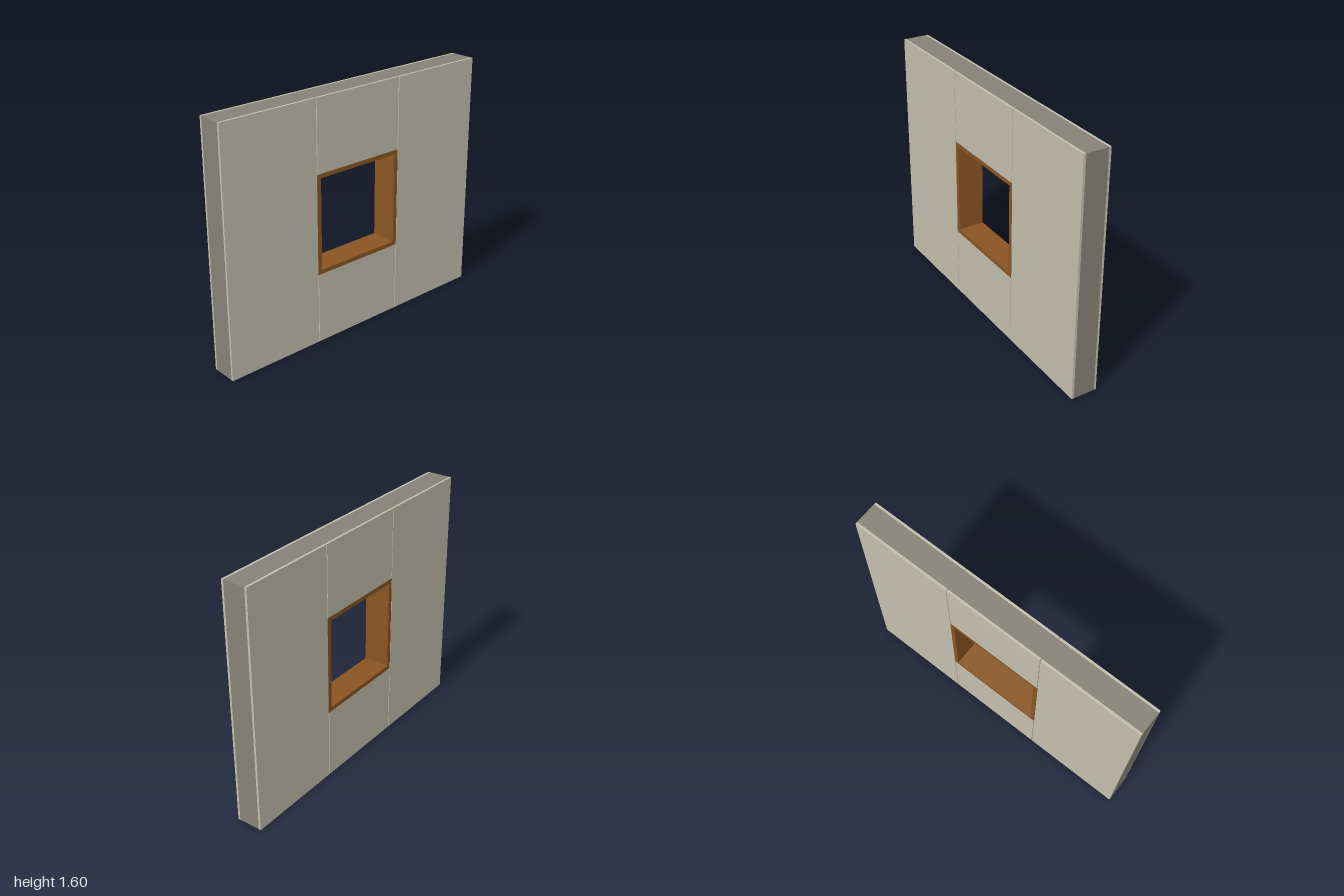
import * as THREE from 'three';

const mat = (name, color) => new THREE.MeshStandardMaterial({ name, color });

export function createModel() {
  const group = new THREE.Group();
  const skinMat = mat('pale cladding', 0xc2bead);
  const coreMat = mat('grey core', 0x858276);
  const woodMat = mat('brown wood', 0x8a5522);

  const W = 2, H = 1.6, midY = 0.8;
  const halfDepth = 0.088, skin = 0.015, coreHalf = halfDepth - skin;
  const opening = 0.33, frameWidth = 0.028, seam = 0.005;

  function box(name, material, x0, x1, y0, y1, z0, z1) {
    const mesh = new THREE.Mesh(new THREE.BoxGeometry(x1 - x0, y1 - y0, z1 - z0), material);
    mesh.position.set((x0 + x1) / 2, (y0 + y1) / 2, (z0 + z1) / 2);
    mesh.name = name;
    group.add(mesh);
  }

  // Rectangular ring extruded through the wall, centred on z = 0
  function ring(name, material, halfW, halfH, hole, depth) {
    const rect = (path, w, h) => path.moveTo(-w, -h).lineTo(w, -h).lineTo(w, h).lineTo(-w, h).closePath();
    const shape = rect(new THREE.Shape(), halfW, halfH);
    shape.holes.push(rect(new THREE.Path(), hole, hole));
    const geometry = new THREE.ExtrudeGeometry(shape, { depth, bevelEnabled: false });
    geometry.translate(0, midY, -depth / 2);
    const mesh = new THREE.Mesh(geometry, material);
    mesh.name = name;
    group.add(mesh);
  }

  // Wall core and window lining
  ring('wallCore', coreMat, W / 2, H / 2, opening, coreHalf * 2);
  ring('windowFrame', woodMat, opening, opening, opening - frameWidth, halfDepth * 2);

  // Cladding panels on both faces, separated by narrow seams
  for (const [face, z0, z1] of [['front', coreHalf, halfDepth], ['back', -halfDepth, -coreHalf]]) {
    const inner = opening - seam / 2, outer = opening + seam / 2;
    box(face + 'LeftPanel', skinMat, outer, W / 2, 0, H, z0, z1);
    box(face + 'RightPanel', skinMat, -W / 2, -outer, 0, H, z0, z1);
    box(face + 'UpperPanel', skinMat, -inner, inner, midY + opening, H, z0, z1);
    box(face + 'LowerPanel', skinMat, -inner, inner, 0, midY - opening, z0, z1);
  }
  return group;
}
